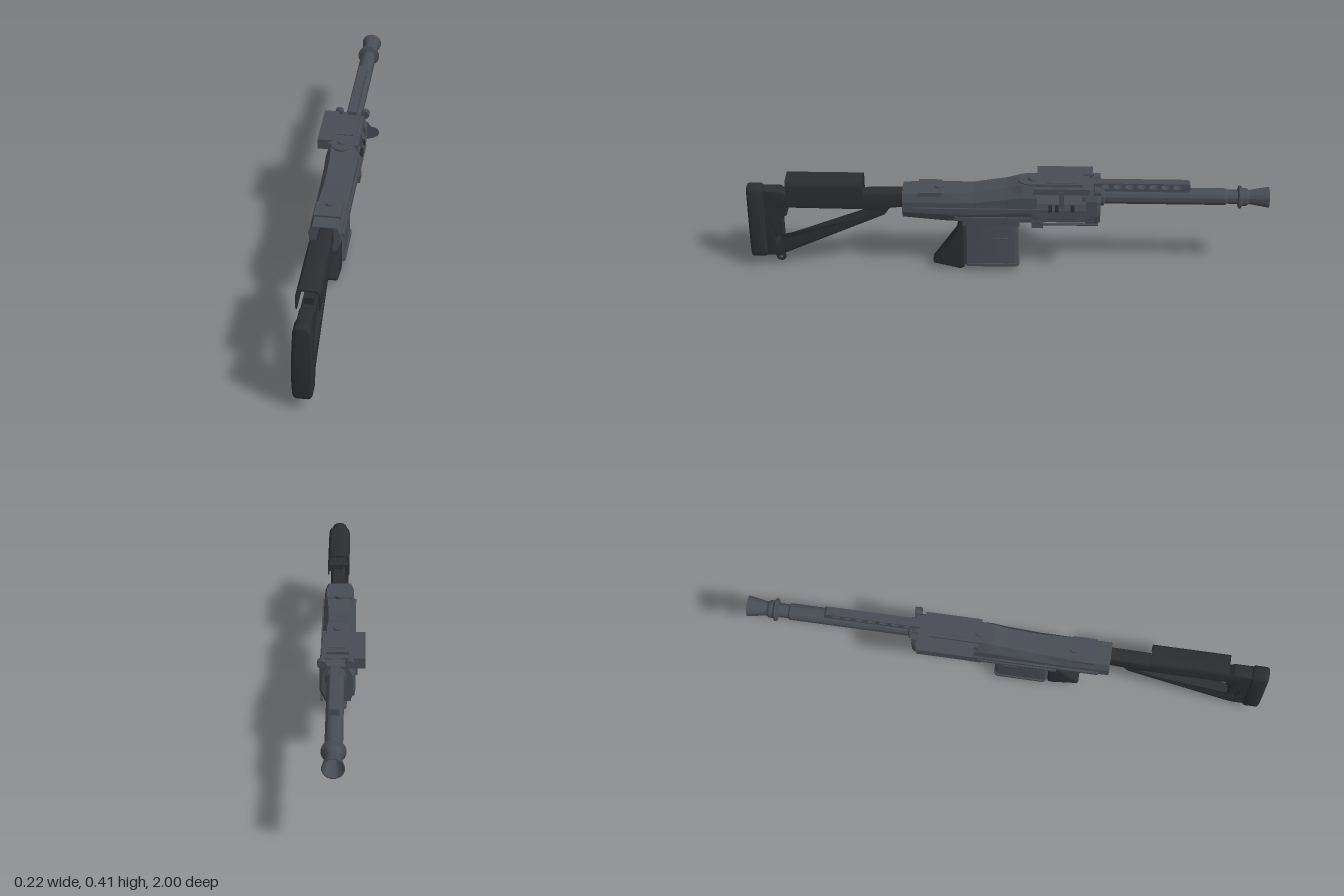
import * as THREE from 'three';
import { toCreasedNormals } from 'three/addons/utils/BufferGeometryUtils.js';

const metal = new THREE.MeshStandardMaterial({ color: 0x484c54 });
const dark = new THREE.MeshStandardMaterial({ color: 0x2b2d31 });
const thin = new THREE.MeshStandardMaterial({ color: 0x2b2d31, side: THREE.DoubleSide });
const CX = -0.006; // the receiver sits slightly off centre

export function createModel() {
  const model = new THREE.Group();

  const add = (name, geo, mat = metal, x = 0, y = 0, z = 0) => {
    const mesh = new THREE.Mesh(geo, mat);
    mesh.name = name;
    mesh.position.set(x, y, z);
    model.add(mesh);
    return mesh;
  };
  // Box given by its limits on each axis
  const box = (name, x0, x1, y0, y1, z0, z1, mat) =>
    add(name, new THREE.BoxGeometry(x1 - x0, y1 - y0, z1 - z0), mat, (x0 + x1) / 2, (y0 + y1) / 2, (z0 + z1) / 2);
  const poly = pts => new THREE.Shape(pts.map(p => new THREE.Vector2(...p)));
  // Side outline in (z, y), extruded to a width centred on x, with rounded edges
  const side = (shape, width, bevel = 0) => {
    const depth = width - 2 * bevel;
    const geo = new THREE.ExtrudeGeometry(shape, {
      depth, bevelEnabled: bevel > 0, bevelSize: bevel, bevelOffset: -bevel,
      bevelThickness: bevel, bevelSegments: 3, curveSegments: 16,
    });
    return toCreasedNormals(geo.translate(0, 0, -depth / 2).rotateY(-Math.PI / 2), 0.6);
  };
  // Turned part along -z; profile is [radius, -z]
  const turned = (pts, seg = 32) => toCreasedNormals(
    new THREE.LatheGeometry(pts.map(p => new THREE.Vector2(...p)), seg).rotateX(-Math.PI / 2), 0.6);
  // Eight-sided hull through sections [z, half top, half middle, half bottom, y0, y1], from +z to -z
  const hull = sections => {
    const rings = sections.map(([z, t, m, b, y0, y1]) => {
      const h = y1 - y0;
      return [[b, y0], [m, y0 + h * 0.3], [m, y0 + h * 0.72], [t, y1],
        [-t, y1], [-m, y0 + h * 0.72], [-m, y0 + h * 0.3], [-b, y0]].map(([x, y]) => [x, y, z]);
    });
    const v = [], tri = (...p) => p.forEach(q => v.push(...q));
    for (let i = 0; i < rings.length - 1; i++) for (let j = 0; j < 8; j++) {
      const k = (j + 1) % 8, r = rings[i], s = rings[i + 1];
      tri(r[j], s[j], r[k]);
      tri(r[k], s[j], s[k]);
    }
    const last = rings[rings.length - 1];
    for (let j = 1; j < 7; j++) {
      tri(rings[0][0], rings[0][j], rings[0][j + 1]);
      tri(last[0], last[j + 1], last[j]);
    }
    const geo = new THREE.BufferGeometry();
    geo.setAttribute('position', new THREE.Float32BufferAttribute(v, 3));
    geo.computeVertexNormals();
    return geo;
  };

  // Butt pad: narrower at the top, rounded all round
  const pad = new THREE.Shape();
  pad.moveTo(-0.02, 0.05);
  pad.lineTo(0.02, 0.05);
  pad.quadraticCurveTo(0.036, 0.052, 0.037, 0.08);
  pad.quadraticCurveTo(0.042, 0.16, 0.036, 0.26);
  pad.lineTo(0.032, 0.34);
  pad.quadraticCurveTo(0.028, 0.366, 0, 0.367);
  pad.quadraticCurveTo(-0.028, 0.366, -0.032, 0.34);
  pad.lineTo(-0.036, 0.26);
  pad.quadraticCurveTo(-0.042, 0.16, -0.037, 0.08);
  pad.quadraticCurveTo(-0.036, 0.052, -0.02, 0.05);
  add('buttPad', toCreasedNormals(new THREE.ExtrudeGeometry(pad, {
    depth: 0.04, bevelSize: 0.012, bevelOffset: -0.012, bevelThickness: 0.012, bevelSegments: 4, curveSegments: 10,
  }), 0.7), dark, 0, 0, 0.948);

  // Skeleton stock: upper bar, rear post and diagonal strut around an opening
  const frame = poly([[0.95, 0.055], [0.95, 0.352], [0.87, 0.352], [0.85, 0.338], [0.58, 0.338],
    [0.53, 0.348], [0.38, 0.352], [0.38, 0.288], [0.45, 0.28], [0.47, 0.25], [0.86, 0.068], [0.9, 0.055]]);
  frame.holes.push(poly([[0.868, 0.122], [0.545, 0.25], [0.525, 0.272], [0.845, 0.275], [0.85, 0.24], [0.868, 0.23]]));
  for (const [z, y] of [[0.888, 0.135], [0.575, 0.262]]) {
    const hole = new THREE.Path();
    hole.absarc(z, y, 0.008, 0, Math.PI * 2);
    if (z > 0.8) frame.holes.push(hole);
  }
  add('stockFrame', side(frame, 0.052, 0.007), dark);
  box('stockSpine', -0.018, 0.018, 0.33, 0.365, 0.56, 0.83, dark);
  add('slingLoop', new THREE.TorusGeometry(0.014, 0.006, 8, 20).rotateY(Math.PI / 2), dark, 0, 0.036, 0.888);
  box('slingLug', -0.014, 0.014, 0.045, 0.075, 0.872, 0.904, dark);

  // Cheek rest: open arch
  const arch = new THREE.Shape();
  const w = 0.044, t = 0.006;
  arch.moveTo(w, 0.325);
  arch.lineTo(w, 0.372);
  arch.quadraticCurveTo(w, 0.408, 0.022, 0.408);
  arch.lineTo(-0.022, 0.408);
  arch.quadraticCurveTo(-w, 0.408, -w, 0.372);
  arch.lineTo(-w, 0.325);
  arch.lineTo(t - w, 0.325);
  arch.lineTo(t - w, 0.37);
  arch.quadraticCurveTo(t - w, 0.402, -0.02, 0.402);
  arch.lineTo(0.02, 0.402);
  arch.quadraticCurveTo(w - t, 0.402, w - t, 0.37);
  arch.lineTo(w - t, 0.325);
  add('cheekRest', toCreasedNormals(new THREE.ExtrudeGeometry(arch,
    { depth: 0.295, bevelEnabled: false, curveSegments: 10 }), 0.6), thin, 0, 0, 0.55);
  for (const s of [-1, 1]) box('cheekRestClamp', s * 0.03 - 0.012, s * 0.03 + 0.012, 0.318, 0.345, 0.6, 0.71, dark);

  // Receiver
  add('receiverRear', hull([
    [0.4, 0.046, 0.058, 0.04, 0.25, 0.355], [0.24, 0.046, 0.06, 0.045, 0.238, 0.36],
    [0.13, 0.04, 0.06, 0.048, 0.235, 0.362], [0.0, 0.038, 0.06, 0.048, 0.235, 0.385],
    [-0.06, 0.042, 0.062, 0.048, 0.235, 0.4], [-0.115, 0.042, 0.062, 0.048, 0.235, 0.395]]), metal, CX);
  box('rearCap', CX - 0.05, CX + 0.05, 0.34, 0.364, 0.25, 0.34);
  add('rearCapScrew', new THREE.CylinderGeometry(0.018, 0.018, 0.01, 20), metal, CX, 0.365, 0.26);
  add('receiverLower', hull([
    [-0.1, 0.056, 0.064, 0.046, 0.236, 0.325], [-0.34, 0.056, 0.064, 0.046, 0.236, 0.325]]), metal, CX);
  add('frontBlock', hull([
    [-0.302, 0.045, 0.064, 0.045, 0.232, 0.385], [-0.345, 0.045, 0.066, 0.045, 0.228, 0.385],
    [-0.358, 0.036, 0.058, 0.038, 0.235, 0.38]]), metal, CX);
  for (const s of [-1, 1]) {
    const x = CX + s * 0.056;
    box('windowPillar', x - 0.006, x + 0.006, 0.31, 0.38, -0.218, -0.2);
    box('sideRail', x + s * 0.005 - 0.006, x + s * 0.005 + 0.006, 0.29, 0.304, -0.3, 0.36);
    box('lowerRail', x - 0.006, x + 0.006, 0.248, 0.262, -0.34, 0.2);
    // Side rod and its clamp
    add('sideRod', new THREE.CylinderGeometry(0.005, 0.005, 0.24, 10).rotateX(Math.PI / 2), metal, s * 0.052, 0.235, -0.23);
    box('rodClamp', s * 0.05 - 0.012, s * 0.05 + 0.012, 0.222, 0.252, -0.14, -0.095);
    add('topKnob', new THREE.CylinderGeometry(0.016, 0.016, 0.026, 18).rotateX(Math.PI / 2), metal, s * 0.052, 0.386, -0.345);
    box('magazineWell', s * 0.042 - 0.008, s * 0.042 + 0.008, 0.22, 0.26, -0.05, 0.17);
  }
  for (const z of [-0.165, -0.19, -0.25]) box('windowDetail', 0.045, 0.062, 0.295, 0.322, z - 0.008, z + 0.006, dark);

  // Top cover with a rounded hatch plate
  box('topCover', CX - 0.058, CX + 0.058, 0.366, 0.392, -0.315, -0.1);
  const hatch = new THREE.Shape();
  hatch.moveTo(-0.042, 0.29);
  hatch.lineTo(-0.042, 0.085);
  hatch.absarc(0, 0.085, 0.042, Math.PI, Math.PI * 2);
  hatch.lineTo(0.042, 0.29);
  add('hatchPlate', new THREE.ExtrudeGeometry(hatch, { depth: 0.012, bevelEnabled: false }).rotateX(-Math.PI / 2), metal, CX, 0.391, 0);
  box('hatchPanel', -0.034, 0.026, 0.4, 0.406, -0.26, -0.15);
  add('hatchScrew', new THREE.CylinderGeometry(0.018, 0.02, 0.01, 20), metal, CX, 0.404, -0.1);

  // Side feed box on the right
  box('feedBox', -0.108, -0.05, 0.356, 0.398, -0.33, -0.115);
  box('feedBoxSupport', -0.08, -0.055, 0.318, 0.358, -0.31, -0.2);

  // Thin paddle on the left, facing the stock
  const paddle = new THREE.Shape();
  paddle.moveTo(0.045, 0.262);
  paddle.lineTo(0.07, 0.268);
  paddle.quadraticCurveTo(0.107, 0.278, 0.107, 0.3);
  paddle.quadraticCurveTo(0.104, 0.322, 0.08, 0.322);
  paddle.quadraticCurveTo(0.068, 0.326, 0.062, 0.345);
  paddle.lineTo(0.045, 0.345);
  add('sidePaddle', new THREE.ShapeGeometry(paddle, 12), metal, 0, 0, -0.35);

  // Barrel with collar ring and hollow flared muzzle
  add('barrel', turned([[0, 0.29], [0.032, 0.29], [0.032, 0.835], [0.027, 0.84], [0.027, 0.88], [0.044, 0.885],
    [0.044, 0.893], [0.034, 0.9], [0.034, 0.915], [0.027, 0.925], [0.04, 1], [0.036, 1], [0.022, 0.93], [0.022, 0.88], [0, 0.88]]),
  metal, 0, 0.337, 0);
  add('barrelRoot', turned([[0, 0.33], [0.04, 0.33], [0.04, 0.37], [0.032, 0.375]]), metal, 0, 0.337, 0);

  // Pierced rail on top of the barrel
  const rail = poly([[-0.33, 0.355], [-0.33, 0.4], [-0.69, 0.4], [-0.698, 0.393], [-0.698, 0.355]]);
  for (let i = 0; i < 7; i++) {
    const slot = new THREE.Path();
    slot.absellipse(-0.378 - i * 0.0455, 0.385, 0.018, 0.0105, 0, Math.PI * 2);
    rail.holes.push(slot);
  }
  add('piercedRail', side(rail, 0.034), metal);

  // Magazine: rounded block with ribs and a wider floor plate
  const magazine = new THREE.Shape();
  magazine.moveTo(-0.033, -0.155);
  magazine.lineTo(-0.033, 0.025);
  magazine.quadraticCurveTo(-0.03, 0.044, -0.015, 0.045);
  magazine.lineTo(0.015, 0.045);
  magazine.quadraticCurveTo(0.03, 0.044, 0.033, 0.025);
  magazine.lineTo(0.033, -0.155);
  magazine.lineTo(0.02, -0.168);
  magazine.lineTo(-0.02, -0.168);
  const slab = (depth, k) => toCreasedNormals(new THREE.ExtrudeGeometry(magazine, { depth, bevelEnabled: false })
    .scale(k, 1, 1).rotateX(-Math.PI / 2), 0.6);
  add('magazine', slab(0.225, 1), metal, 0, 0.03, 0);
  add('magazineFloor', slab(0.012, 1.16), metal, 0, 0.024, -0.004);
  for (const s of [-1, 1]) {
    box('magazineRib', s * 0.033 - 0.003, s * 0.033 + 0.003, 0.05, 0.22, 0.105, 0.112);
    box('magazineCatch', s * 0.034 - 0.004, s * 0.034 + 0.004, 0.148, 0.155, -0.005, 0.045);
  }

  // Pistol grip
  add('grip', side(poly([[0.165, 0.24], [0.165, 0.01], [0.182, 0.002], [0.286, 0.028], [0.288, 0.038], [0.195, 0.175], [0.182, 0.24]]), 0.054, 0.008), dark);

  return model;
}
